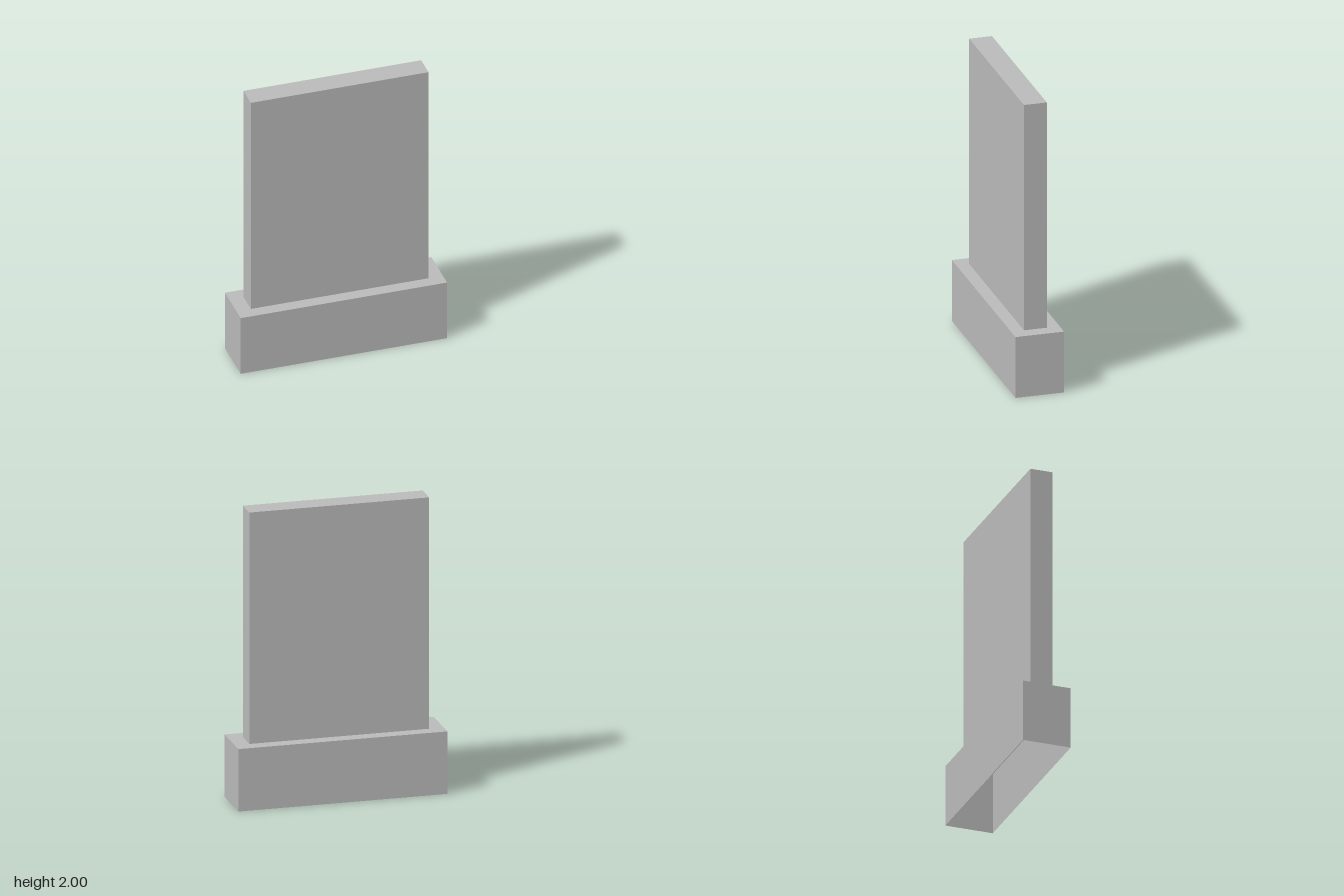
import * as THREE from 'three';

// Box standing on y, without its bottom face
function openBox(name, width, height, depth, y, material) {
  const geometry = new THREE.BoxGeometry(width, height, depth);
  const index = Array.from(geometry.index.array);
  index.splice(18, 6); // face order: +x, -x, +y, -y, +z, -z
  geometry.setIndex(index);
  geometry.clearGroups();
  geometry.translate(0, y + height / 2, 0);
  const mesh = new THREE.Mesh(geometry, material);
  mesh.name = name;
  return mesh;
}

export function createModel() {
  const model = new THREE.Group();
  model.name = 'slabOnPlinth';

  const stone = new THREE.MeshStandardMaterial({ color: 0xbcbcbc, side: THREE.DoubleSide });
  stone.name = 'grey stone';

  // Plinth, hollow and open underneath
  const plinthHeight = 0.425;
  model.add(openBox('plinth', 1.41, plinthHeight, 0.33, 0, stone));

  // Upright slab
  model.add(openBox('slab', 1.214, 2 - plinthHeight, 0.155, plinthHeight, stone));

  return model;
}
